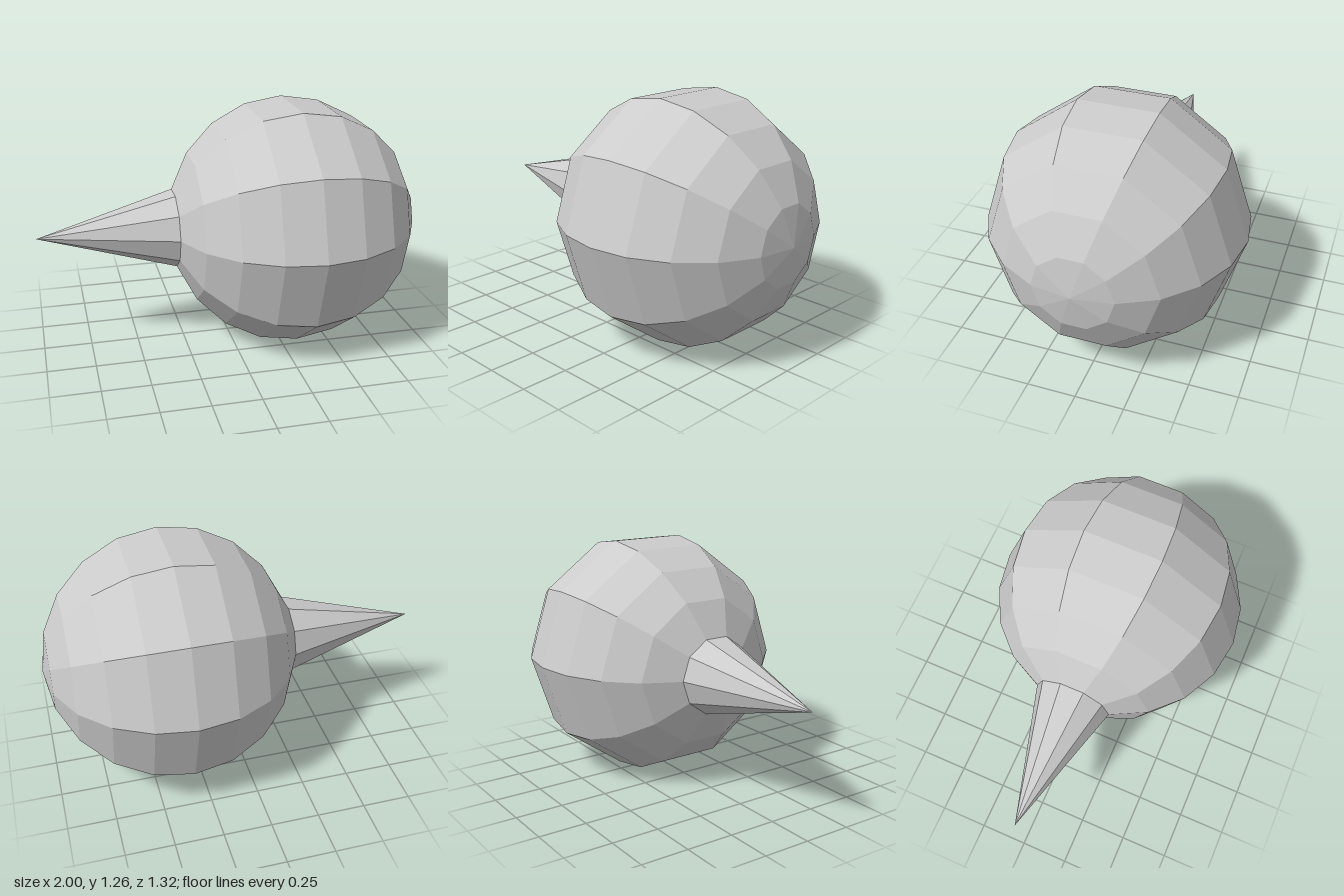
import * as THREE from 'three';

const SIDES = 10;
const RINGS = 10;
const RADIUS = 0.66;
const CENTRE_X = 0.34;
const TIP_X = -1;

// Faceted solid of revolution about the x axis; profile runs from -x to +x as (radius, x)
function turned(name, profile, material) {
  const geometry = new THREE.LatheGeometry(profile, SIDES).rotateZ(-Math.PI / 2).toNonIndexed();
  geometry.computeVertexNormals();
  const mesh = new THREE.Mesh(geometry, material);
  mesh.name = name;
  return mesh;
}

export function createModel() {
  const group = new THREE.Group();
  group.name = 'spikedBall';
  const material = new THREE.MeshStandardMaterial({ color: 0xcccccc, flatShading: true });

  // Ball: every ring of the sphere except the pole that is drawn out into the spike
  const ball = [];
  for (let i = 1; i <= RINGS; i++) {
    const a = (i / RINGS) * Math.PI;
    const r = i === RINGS ? 0 : RADIUS * Math.sin(a);
    ball.push(new THREE.Vector2(r, CENTRE_X - RADIUS * Math.cos(a)));
  }
  group.add(turned('ball', ball, material));

  // Spike: joins the first ring to the tip
  group.add(turned('spike', [new THREE.Vector2(0, TIP_X), ball[0].clone()], material));

  // Rest the lowest flat side on the ground
  group.position.y = RADIUS * Math.cos(Math.PI / SIDES);
  return group;
}
